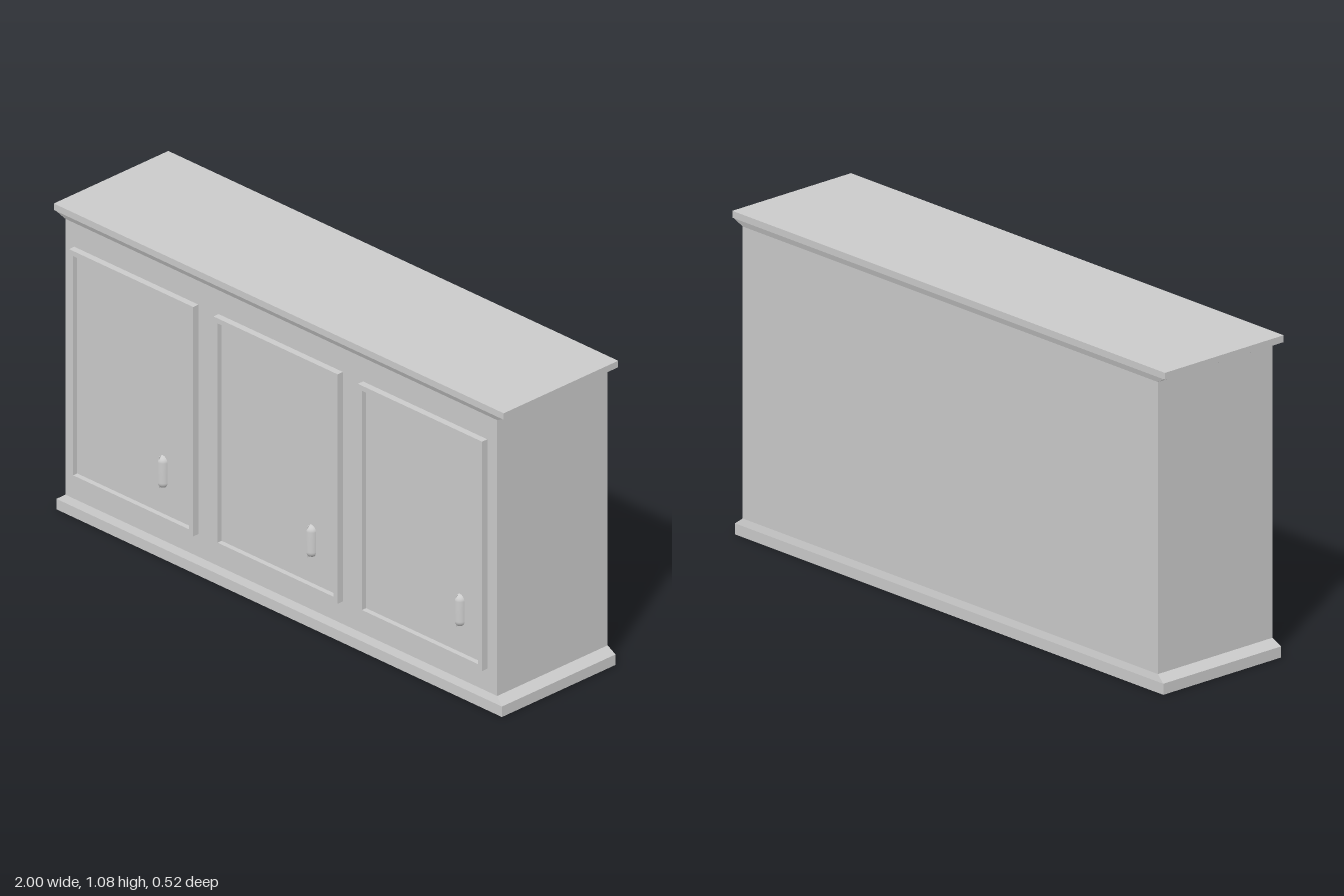
import * as THREE from 'three';

const material = new THREE.MeshStandardMaterial({ color: 0xcccccc });

function add(parent, name, geometry) {
  const mesh = new THREE.Mesh(geometry, material);
  mesh.name = name;
  parent.add(mesh);
  return mesh;
}

// Block between two heights, with its own rectangle { x, back, front } at each end
function block(y0, y1, low, high = low) {
  const geometry = new THREE.BoxGeometry(2, 2, 2).toNonIndexed();
  const p = geometry.attributes.position;
  for (let i = 0; i < p.count; i++) {
    const r = p.getY(i) > 0 ? high : low;
    p.setXYZ(i, p.getX(i) * r.x, p.getY(i) > 0 ? y1 : y0, p.getZ(i) > 0 ? r.front : r.back);
  }
  geometry.computeVertexNormals();
  return geometry;
}

function rectangle(path, w, h) {
  path.moveTo(-w / 2, -h / 2);
  path.lineTo(w / 2, -h / 2);
  path.lineTo(w / 2, h / 2);
  path.lineTo(-w / 2, h / 2);
  path.closePath();
  return path;
}

// Half-round upright pull, flat on its -x side
function handleGeometry(radius, height) {
  const shape = [];
  const cap = 0.022, steps = 6;
  const half = height / 2;
  for (let i = 0; i <= steps; i++) {
    const a = (i / steps) * Math.PI / 2;
    shape.push(new THREE.Vector2(radius * Math.sin(a), -half + cap * (1 - Math.cos(a))));
  }
  for (let i = steps; i >= 0; i--) {
    const a = (i / steps) * Math.PI / 2;
    shape.push(new THREE.Vector2(radius * Math.sin(a), half - cap * (1 - Math.cos(a))));
  }
  return new THREE.LatheGeometry(shape, 16, 0, Math.PI);
}

function createDoor() {
  const w = 0.552, h = 0.81, rim = 0.018;
  const door = new THREE.Group();

  // Raised rim around a recessed panel
  const outline = rectangle(new THREE.Shape(), w, h);
  outline.holes.push(rectangle(new THREE.Path(), w - 2 * rim, h - 2 * rim));
  add(door, 'doorFrame', new THREE.ExtrudeGeometry(outline, { depth: 0.023, bevelEnabled: false }));
  add(door, 'doorPanel', new THREE.BoxGeometry(w - 2 * rim, h - 2 * rim, 0.006)).position.z = 0.002;

  // Pull and the flat face closing it
  const handle = new THREE.Group();
  handle.name = 'handle';
  add(handle, 'handleGrip', handleGeometry(0.024, 0.115));
  add(handle, 'handleFlat', new THREE.BoxGeometry(0.002, 0.11, 0.042)).position.x = 0.001;
  handle.position.set(0.12, -0.238, 0);
  door.add(handle);
  return door;
}

export function createModel() {
  const cabinet = new THREE.Group();
  cabinet.name = 'cabinet';

  const body = { x: 0.96, back: -0.25, front: 0.237 };
  const base = { x: 0.99, back: -0.255, front: 0.246 };
  const crown = { x: 1, back: -0.257, front: 0.248 };

  add(cabinet, 'carcass', block(0.03, 1.06, body));

  // Plinth with sloped top edge
  add(cabinet, 'plinth', block(0, 0.037, base));
  add(cabinet, 'plinthMoulding', block(0.037, 0.06, base, body));

  // Top board carried by a flared moulding
  add(cabinet, 'crownMoulding', block(1.034, 1.054, body, { x: 0.995, back: -0.256, front: 0.246 }));
  add(cabinet, 'topBoard', block(1.054, 1.077, crown));

  // Three doors
  ['rightDoor', 'middleDoor', 'leftDoor'].forEach((name, i) => {
    const door = createDoor();
    door.name = name;
    door.position.set(-0.644 + i * 0.642, 0.545, 0.237);
    // Pulls sit slightly further out on each successive door
    door.getObjectByName('handle').position.x += i * 0.018;
    cabinet.add(door);
  });

  return cabinet;
}
